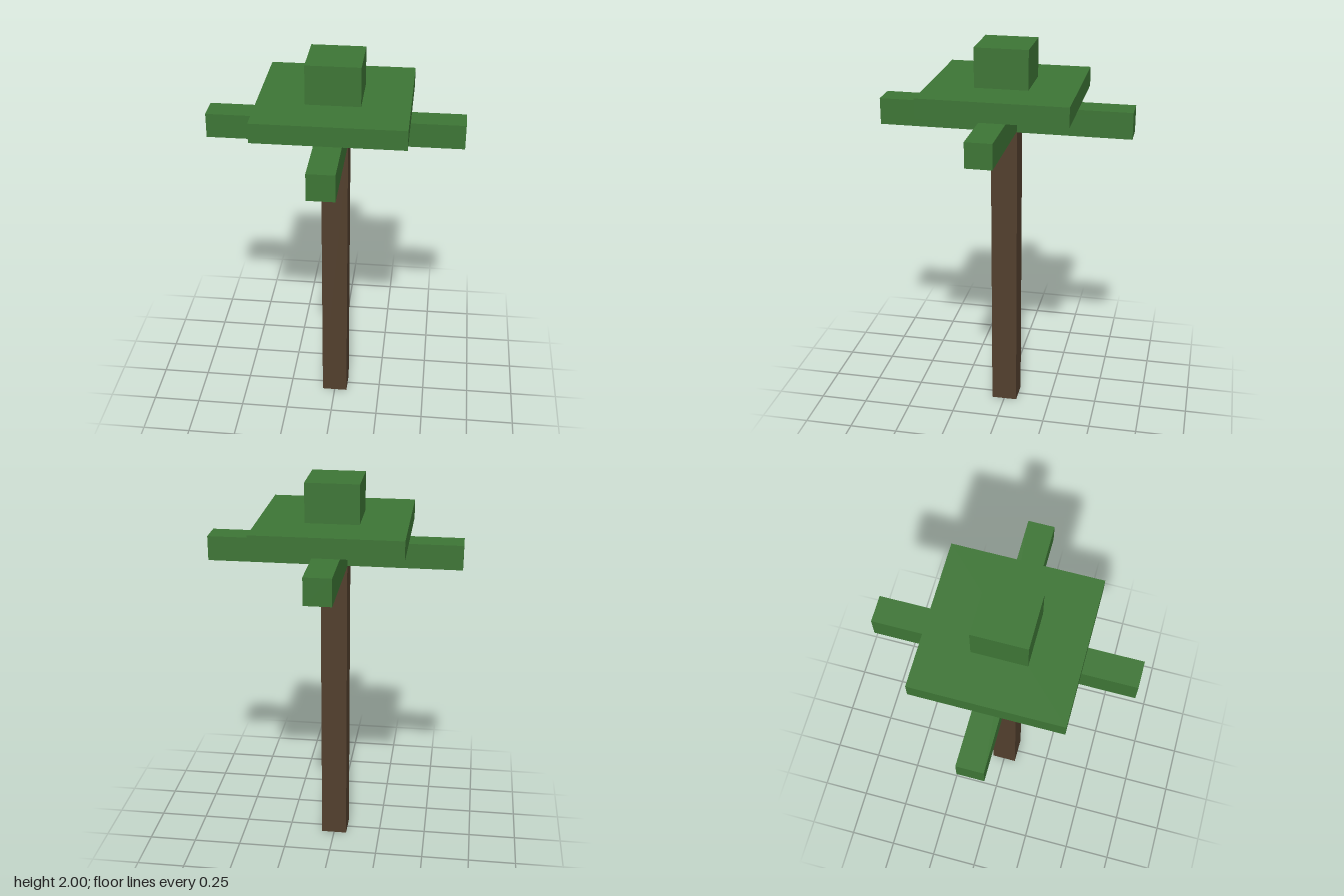
import * as THREE from 'three';

export function createModel() {
  const model = new THREE.Group();
  model.name = 'blockTree';

  const bark = new THREE.MeshStandardMaterial({ color: 0x523f2d, side: THREE.DoubleSide });
  bark.name = 'bark brown';
  const leaf = new THREE.MeshStandardMaterial({ color: 0x3d7535 });
  leaf.name = 'leaf green';

  // Leaf block spanning y0..y1, centred on the trunk axis
  const block = (name, width, depth, y0, y1) => {
    const mesh = new THREE.Mesh(new THREE.BoxGeometry(width, y1 - y0, depth), leaf);
    mesh.position.y = (y0 + y1) / 2;
    mesh.name = name;
    model.add(mesh);
  };

  // Square trunk, open at the bottom: a four-sided tube turned to face front
  const side = 0.135, height = 1.565;
  const tube = new THREE.CylinderGeometry(side / Math.SQRT2, side / Math.SQRT2, height, 4, 1, true)
    .rotateY(Math.PI / 4).toNonIndexed();
  tube.computeVertexNormals();
  const trunk = new THREE.Mesh(tube, bark);
  trunk.position.y = height / 2;
  trunk.name = 'trunk';
  model.add(trunk);

  // Crossed branches, the sideways one slightly thinner
  block('sidewaysBranch', 1.286, 0.132, 1.567, 1.693);
  block('frontToBackBranch', 0.135, 1.286, 1.562, 1.698);

  // Stacked canopy
  block('canopySlab', 0.746, 0.746, 1.7, 1.8);
  block('canopyTop', 0.271, 0.271, 1.8, 2);

  return model;
}
